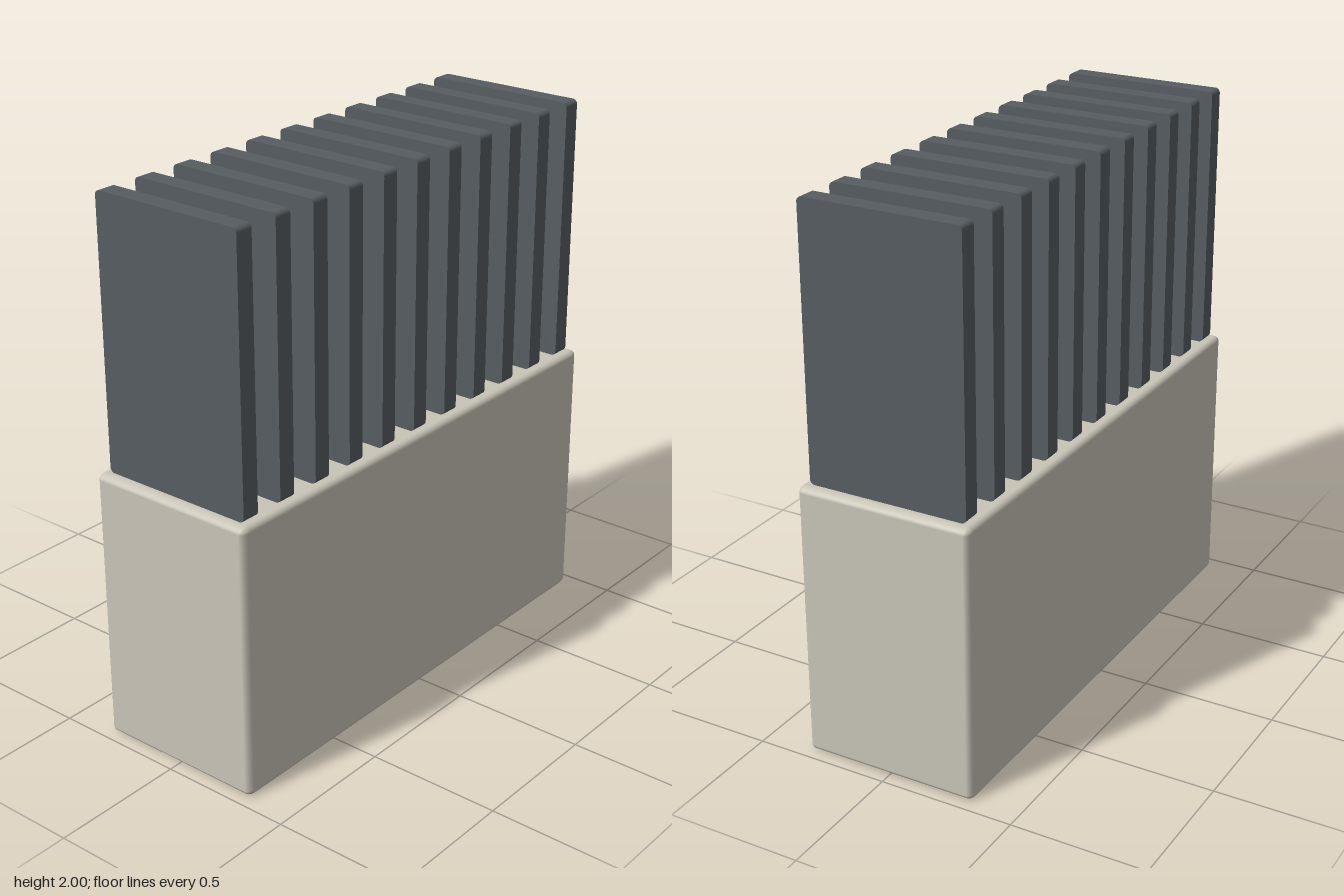
import * as THREE from 'three';
import { RoundedBoxGeometry } from 'three/addons/geometries/RoundedBoxGeometry.js';

const BODY = { width: 1.92, height: 1.015, depth: 0.656 };
const FIN = { count: 11, spacing: 0.1773, thickness: 0.068, depth: 0.596, top: 2, corner: 0.018 };

// Rectangle with rounded corners, centred on the origin
function roundedRect(w, h, r) {
  const x = w / 2, y = h / 2;
  const s = new THREE.Shape();
  s.absarc(x - r, y - r, r, 0, Math.PI / 2);
  s.absarc(-x + r, y - r, r, Math.PI / 2, Math.PI);
  s.absarc(-x + r, -y + r, r, Math.PI, Math.PI * 1.5);
  s.absarc(x - r, -y + r, r, Math.PI * 1.5, Math.PI * 2);
  s.closePath();
  return s;
}

export function createModel() {
  const model = new THREE.Group();
  model.name = 'finnedBlock';

  const stone = new THREE.MeshStandardMaterial({ color: 0xc8c4b7 });
  stone.name = 'warm grey';
  const slate = new THREE.MeshStandardMaterial({ color: 0x565d61 });
  slate.name = 'slate grey';

  // Base block: edges are rounded a little further along its length
  const stretch = 1.6;
  const bodyGeometry = new RoundedBoxGeometry(BODY.width / stretch, BODY.height, BODY.depth, 4, 0.022);
  bodyGeometry.scale(stretch, 1, 1);
  const body = new THREE.Mesh(bodyGeometry, stone);
  body.name = 'baseBlock';
  body.position.y = BODY.height / 2;
  model.add(body);

  // Upright fins: a rounded profile in the z-y plane, extruded along x
  const finHeight = FIN.top - BODY.height;
  const finGeometry = new THREE.ExtrudeGeometry(roundedRect(FIN.depth, finHeight, FIN.corner), {
    depth: FIN.thickness, bevelEnabled: false, curveSegments: 4,
  });
  finGeometry.translate(0, 0, -FIN.thickness / 2);
  finGeometry.rotateY(Math.PI / 2);

  const fins = new THREE.Group();
  fins.name = 'fins';
  for (let i = 0; i < FIN.count; i++) {
    const fin = new THREE.Mesh(finGeometry, slate);
    fin.name = `fin${i + 1}`;
    fin.position.set((i - (FIN.count - 1) / 2) * FIN.spacing, BODY.height + finHeight / 2, 0);
    fins.add(fin);
  }
  model.add(fins);

  return model;
}
